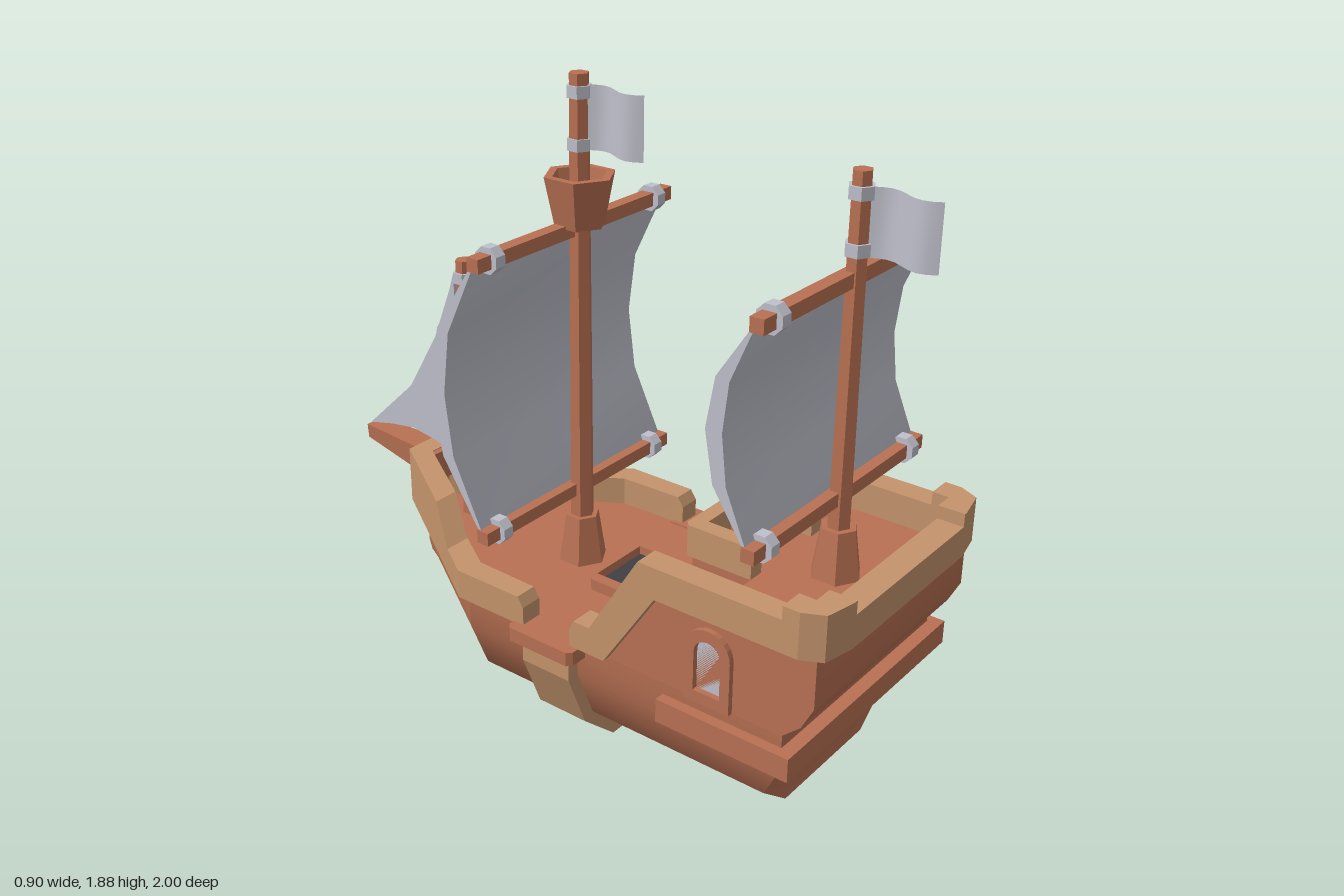
import * as THREE from 'three';
import { toCreasedNormals } from 'three/addons/utils/BufferGeometryUtils.js';

const mat = (name, color, side = THREE.FrontSide) => {
  const m = new THREE.MeshStandardMaterial({ color, side });
  m.name = name;
  return m;
};

export function createModel() {
  const ship = new THREE.Group();
  ship.name = 'sailingShip';
  const wood = mat('brown wood', 0xb97153);
  const trim = mat('tan trim', 0xc4946c);
  const cloth = mat('pale grey cloth', 0xc0c0cc, THREE.DoubleSide);
  const dark = mat('dark hold', 0x404045);

  const add = (name, geo, material, x = 0, y = 0, z = 0) => {
    const m = new THREE.Mesh(geo, material);
    m.name = name;
    m.position.set(x, y, z);
    ship.add(m);
    return m;
  };
  const box = (name, material, x0, x1, y0, y1, z0, z1) =>
    add(name, new THREE.BoxGeometry(x1 - x0, y1 - y0, z1 - z0), material, (x0 + x1) / 2, (y0 + y1) / 2, (z0 + z1) / 2);
  const poly = (pts) => new THREE.Shape(pts.map((p) => new THREE.Vector2(...p)));
  const extrude = (shape, depth) =>
    new THREE.ExtrudeGeometry(shape, { depth, bevelEnabled: false, curveSegments: 6 });
  // Side profile [z, y] extruded across x0..x1
  const sideSlab = (pts, x0, x1, crease = 0.7) =>
    toCreasedNormals(extrude(poly(pts), x1 - x0).rotateY(-Math.PI / 2).translate(x1, 0, 0), crease);
  // Plan outline [x, z] extruded between y0 and y1
  const planSlab = (shape, y0, y1) => extrude(shape, y1 - y0).rotateX(Math.PI / 2).translate(0, y1, 0);
  const mirrorX = (pts) => [...pts, ...pts.slice().reverse().map(([x, ...r]) => [-x, ...r])];

  // Skin a row of equal loops and cap both ends
  const loft = (loops, crease) => {
    const n = loops[0].length, last = loops.length - 1, pos = [];
    const quad = (a, b, c, d) => pos.push(...a, ...b, ...c, ...a, ...c, ...d);
    for (let s = 0; s < last; s++)
      for (let i = 0; i < n; i++) {
        const j = (i + 1) % n;
        quad(loops[s][i], loops[s][j], loops[s + 1][j], loops[s + 1][i]);
      }
    for (let i = 0; i < n / 2 - 1; i++) {
      const k = [i, n - 1 - i, n - 2 - i, i + 1];
      quad(...k.map((q) => loops[0][q]));
      quad(...k.reverse().map((q) => loops[last][q]));
    }
    // Flip the faces if the solid came out inside out
    let volume = 0;
    const v = (i) => new THREE.Vector3(pos[i], pos[i + 1], pos[i + 2]);
    for (let i = 0; i < pos.length; i += 9) volume += v(i).dot(v(i + 3).cross(v(i + 6)));
    if (volume < 0)
      for (let i = 0; i < pos.length; i += 9)
        for (let k = 3; k < 6; k++) [pos[i + k], pos[i + k + 3]] = [pos[i + k + 3], pos[i + k]];
    const g = new THREE.BufferGeometry();
    g.setAttribute('position', new THREE.Float32BufferAttribute(pos, 3));
    g.computeVertexNormals();
    return toCreasedNormals(g, crease);
  };

  // Hull: stern, knuckle and bow sections, the top closing as the main deck
  const mid = [[0.385, 0.4], [0.38, 0.29], [0.315, 0.13], [0.2, 0.04]];
  const sternZ = [0.87, 0.87, 0.78, 0.78];
  const bow = [[0.05, 0.4, -0.73], [0.045, 0.33, -0.73], [0.04, 0.25, -0.73], [0.03, 0.21, -0.73]];
  add('hull', loft([
    mirrorX(mid.map((p, i) => [...p, sternZ[i]])),
    mirrorX(mid.map((p) => [...p, -0.22])),
    mirrorX(bow),
  ], 0.55), wood);

  // Stern castle with its side walls and poop deck
  add('sternCastle', sideSlab([[0.62, 0.4], [0.87, 0.4], [0.925, 0.45], [0.96, 0.52], [0.96, 0.665], [0.62, 0.665]], -0.388, 0.388), wood);
  box('helmPlatform', wood, -0.16, 0.16, 0.4, 0.665, 0.42, 0.62);
  box('sternBand', wood, -0.415, 0.415, 0.288, 0.36, 0.49, 0.91);

  // Midship rib
  add('midshipRib', extrude(poly(mirrorX([[0.22, 0], [0.35, 0.115], [0.42, 0.29], [0.42, 0.37]])), 0.17), trim, 0, 0, 0.02);

  // Bow rail: [outer x, outer z, inner x, inner z, top]
  const rail = [
    [0.415, 0.02, 0.345, 0.02, 0.46], [0.415, 0, 0.345, 0, 0.49], [0.415, -0.23, 0.34, -0.21, 0.49],
    [0.345, -0.34, 0.259, -0.34, 0.49], [0.274, -0.45, 0.191, -0.45, 0.583], [0.07, -0.77, 0.035, -0.7, 0.583],
  ];
  const railLoop = (s) => ([xo, zo, xi, zi, t]) =>
    [[s * xo, 0.4, zo], [s * xo, t, zo], [s * xi, t, zi], [s * xi, 0.4, zi]];
  add('bowRail', loft([...rail.map(railLoop(1)), ...rail.slice().reverse().map(railLoop(-1))], 0.2), trim);

  // Arched frame with a thin pane, facing +z before it is turned
  const arch = (w, y0, y1) => {
    const s = new THREE.Shape();
    s.moveTo(-w, y0);
    s.lineTo(w, y0);
    s.lineTo(w, y1 - w);
    s.absarc(0, y1 - w, w, 0, Math.PI, false);
    return s;
  };
  const archWindow = (name, x, z, turn) => {
    const frame = arch(0.072, 0.4, 0.63);
    frame.holes.push(arch(0.042, 0.435, 0.595));
    add(name + 'Frame', extrude(frame, 0.025), wood, x, 0, z).rotation.y = turn;
    add(name + 'Pane', extrude(arch(0.043, 0.434, 0.596), 0.008), cloth, x, 0, z).rotation.y = turn;
  };
  archWindow('door', 0, 0.42, Math.PI);

  for (const s of [-1, 1]) {
    const side = s > 0 ? 'left' : 'right';
    const span = (a, b) => (s > 0 ? [a, b] : [-b, -a]);
    add(side + 'CastleWall', sideSlab([[0.3, 0.4], [0.62, 0.4], [0.62, 0.67], [0.47, 0.67]], ...span(0.35, 0.388)), wood);
    // Sloping stern side rail
    add(side + 'SternRail', sideSlab([[0.88, 0.665], [0.88, 0.76], [0.425, 0.76], [0.26, 0.49], [0.205, 0.49],
      [0.19, 0.46], [0.19, 0.405], [0.31, 0.405], [0.48, 0.665]], ...span(0.34, 0.415), 0.2), trim);
    // Raised corner of the stern rail
    add(side + 'SternCorner', planSlab(poly([[0.415, 0.87], [0.415, 0.92], [0.385, 0.98], [0.29, 1], [0.28, 1],
      [0.28, 0.92], [0.34, 0.92], [0.34, 0.87]].map(([x, z]) => [s * x, z])), 0.665, 0.8), trim);
    add(side + 'Gunwale', planSlab(poly([[0.33, -0.015], [0.435, -0.015], [0.45, 0], [0.45, 0.205],
      [0.435, 0.22], [0.33, 0.22]].map(([x, z]) => [s * x, z])), 0.362, 0.405), wood);
    archWindow(side + 'Window', s * 0.38, 0.645, s * Math.PI / 2);
    // Stairs to the poop deck
    for (let i = 0; i < 4; i++)
      box(side + 'Stair', wood, ...span(0.16, 0.35), 0.4, 0.453 + i * 0.053, 0.35 + i * 0.065, 0.62);
  }
  box('sternRailMiddle', trim, -0.28, 0.28, 0.665, 0.76, 0.92, 1);

  // Helm rail and steering wheel
  add('helmRail', planSlab(poly([[0.175, 0.62], [0.175, 0.415], [0.16, 0.4], [-0.16, 0.4], [-0.175, 0.415], [-0.175, 0.62],
    [-0.125, 0.62], [-0.125, 0.445], [0.125, 0.445], [0.125, 0.62]]), 0.665, 0.76), trim);
  box('wheelStand', wood, -0.03, 0.03, 0.66, 0.745, 0.455, 0.495);
  add('wheelRim', new THREE.TorusGeometry(0.045, 0.009, 6, 12), wood, 0, 0.745, 0.49);
  for (let i = 0; i < 3; i++)
    add('wheelSpokes', new THREE.BoxGeometry(0.014, 0.13, 0.014), wood, 0, 0.745, 0.49).rotation.z = i * Math.PI / 3;

  // Deck hatch
  const hatch = poly([[-0.14, 0.045], [-0.125, 0.03], [0.125, 0.03], [0.14, 0.045], [0.14, 0.265], [0.125, 0.28], [-0.125, 0.28], [-0.14, 0.265]]);
  hatch.holes.push(poly([[-0.103, 0.037], [0.103, 0.037], [0.103, 0.247], [-0.103, 0.247]]));
  add('hatchFrame', planSlab(hatch, 0.4, 0.435), wood);
  box('hatchOpening', dark, -0.104, 0.104, 0.4, 0.408, 0.036, 0.248);

  // Bowsprit
  const spritLoop = (z, w, y0, y1) => [[w, y1, z], [w * 0.9, y0, z], [-w * 0.9, y0, z], [-w, y1, z]];
  add('bowsprit', loft([spritLoop(-0.68, 0.05, 0.48, 0.58), spritLoop(-1, 0.036, 0.542, 0.59)], 0.2), wood);

  // Masts with collars and waving flags
  const hex = (rTop, rBottom, h, open = false) =>
    toCreasedNormals(new THREE.CylinderGeometry(rTop, rBottom, h, 6, 1, open), 0.2);
  const mast = (name, z, y0, y1, r, collars, flagY, baseY) => {
    add(name + 'Mast', hex(r * 0.78, r, y1 - y0), wood, 0, (y0 + y1) / 2, z);
    if (baseY) add(name + 'MastBase', hex(0.052, 0.075, 0.15), wood, 0, baseY + 0.075, z);
    for (const y of collars) add(name + 'FlagCollar', hex(0.036, 0.036, 0.034), cloth, 0, y, z);
    const flag = new THREE.PlaneGeometry(0.2, 0.18, 8, 1).rotateY(-Math.PI / 2);
    const p = flag.attributes.position;
    for (let i = 0; i < p.count; i++) p.setX(i, 0.02 * Math.sin((p.getZ(i) + 0.1) * 31));
    flag.computeVertexNormals();
    add(name + 'Flag', flag, cloth, 0, flagY, z + 0.122);
  };
  mast('mizzen', 0.775, 0.66, 1.78, 0.035, [1.58, 1.725], 1.65, 0.66);
  mast('main', -0.105, 0.4, 1.885, 0.037, [1.69, 1.835], 1.765, 0.4);
  mast('fore', -0.56, 0.4, 1.255, 0.035, [1.06, 1.2], 1.127);

  // Hollow crow's nest
  const nest = [[0, 1.46], [0.075, 1.46], [0.105, 1.605], [0.08, 1.605], [0.062, 1.49], [0, 1.49]];
  add('crowsNest', toCreasedNormals(new THREE.LatheGeometry(nest.map((q) => new THREE.Vector2(...q)), 6), 0.2), wood, 0, 0, -0.105);

  // Square sails: yards, clamps and a thick bulging sheet
  const squareSail = (name, z, yTop, yBottom, bulge) => {
    for (const y of [yTop, yBottom]) {
      box(name + 'Yard', wood, -0.42, 0.42, y - 0.02, y + 0.02, z - 0.02, z + 0.02);
      for (const x of [-0.35, 0.35]) {
        const clamp = toCreasedNormals(new THREE.CylinderGeometry(0.04, 0.04, 0.036, 8).rotateY(Math.PI / 8), 0.2);
        add(name + 'Clamp', clamp.rotateZ(Math.PI / 2), cloth, x, y, z);
      }
    }
    const c = (yTop + yBottom) / 2, h = (yTop - yBottom) / 2;
    const curve = (depth, k) => [1, 0.48, 0, -0.48, -1].map((t, i) => [z - 0.01 - depth * [0, 0.8, 1, 0.8, 0][i], c + t * h * k]);
    add(name + 'Sail', sideSlab([...curve(bulge, 1), ...curve(bulge - 0.05, 0.96).reverse()], -0.413, 0.413), cloth);
  };
  squareSail('mizzen', 0.765, 1.505, 0.9, 0.13);
  squareSail('main', -0.122, 1.45, 0.637, 0.172);

  // Jib between foremast and bowsprit
  add('jib', sideSlab([[-0.59, 1.21], [-0.61, 1.15], [-0.68, 0.98], [-0.8, 0.78], [-1, 0.592], [-0.9, 0.615],
    [-0.8, 0.63], [-0.7, 0.615], [-0.59, 0.59]], -0.018, 0.014, 0.5), cloth);

  return ship;
}
